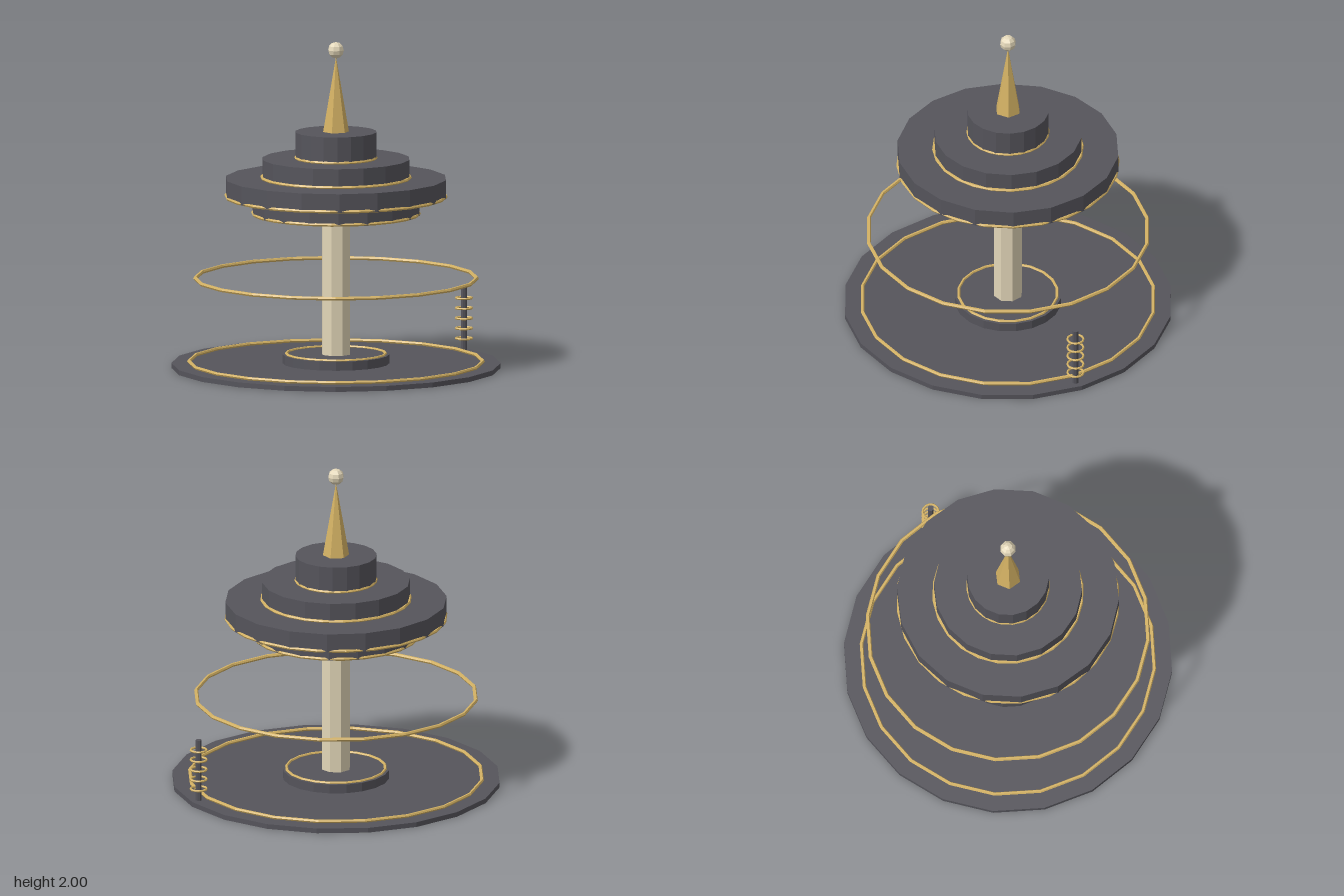
import * as THREE from 'three';

export function createModel() {
  const model = new THREE.Group();
  const mat = (name, color) => {
    const m = new THREE.MeshStandardMaterial({ color, flatShading: true });
    m.name = name;
    return m;
  };
  const slate = mat('slate', 0x55545b);
  const gold = mat('gold', 0xd4b264);
  const cream = mat('cream', 0xe2d6b8);

  const add = (name, geometry, material, x, y, z) => {
    const mesh = new THREE.Mesh(geometry, material);
    mesh.name = name;
    mesh.position.set(x, y, z);
    model.add(mesh);
    return mesh;
  };
  // upright prism between two heights
  const drum = (name, r, y0, y1, sides, material, x = 0, z = 0) =>
    add(name, new THREE.CylinderGeometry(r, r, y1 - y0, sides), material, x, (y0 + y1) / 2, z);
  // horizontal trim ring
  const ring = (name, r, tube, y, sides, x = 0, z = 0) =>
    add(name, new THREE.TorusGeometry(r, tube, 6, sides).rotateX(Math.PI / 2), gold, x, y, z);

  // base plate and pedestal
  drum('basePlate', 1, 0, 0.03, 20, slate);
  ring('baseRing', 0.893, 0.011, 0.04, 20);
  drum('pedestal', 0.325, 0.03, 0.085, 20, slate);
  ring('pedestalRing', 0.302, 0.009, 0.088, 20);

  // central column and floating hoop
  drum('column', 0.09, 0.085, 0.95, 8, cream);
  ring('floatingHoop', 0.855, 0.012, 0.55, 20);

  // stacked tiers, each with a ring round its foot
  const tiers = [
    ['lower', 0.512, 0.945, 1.05, 0.505],
    ['main', 0.675, 1.05, 1.165, 0.668],
    ['middle', 0.45, 1.165, 1.285, 0.45],
    ['top', 0.248, 1.285, 1.45, 0.242],
  ];
  for (const [name, r, y0, y1, ringR] of tiers) {
    drum(name + 'Tier', r, y0, y1, 18, slate);
    ring(name + 'TierRing', ringR, 0.011, y0 + 0.006, 24);
  }

  // spire and finial
  add('spire', new THREE.ConeGeometry(0.08, 0.46, 6), gold, 0, 1.68, 0);
  add('finial', new THREE.SphereGeometry(0.05, 8, 6), cream, 0, 1.95, 0);

  // small coil mast near the rim
  drum('mast', 0.019, 0.03, 0.415, 8, slate, 0.57, -0.755);
  for (let i = 0; i < 5; i++) ring('mastRing' + (i + 1), 0.049, 0.007, 0.102 + i * 0.062, 12, 0.57, -0.755);

  return model;
}
